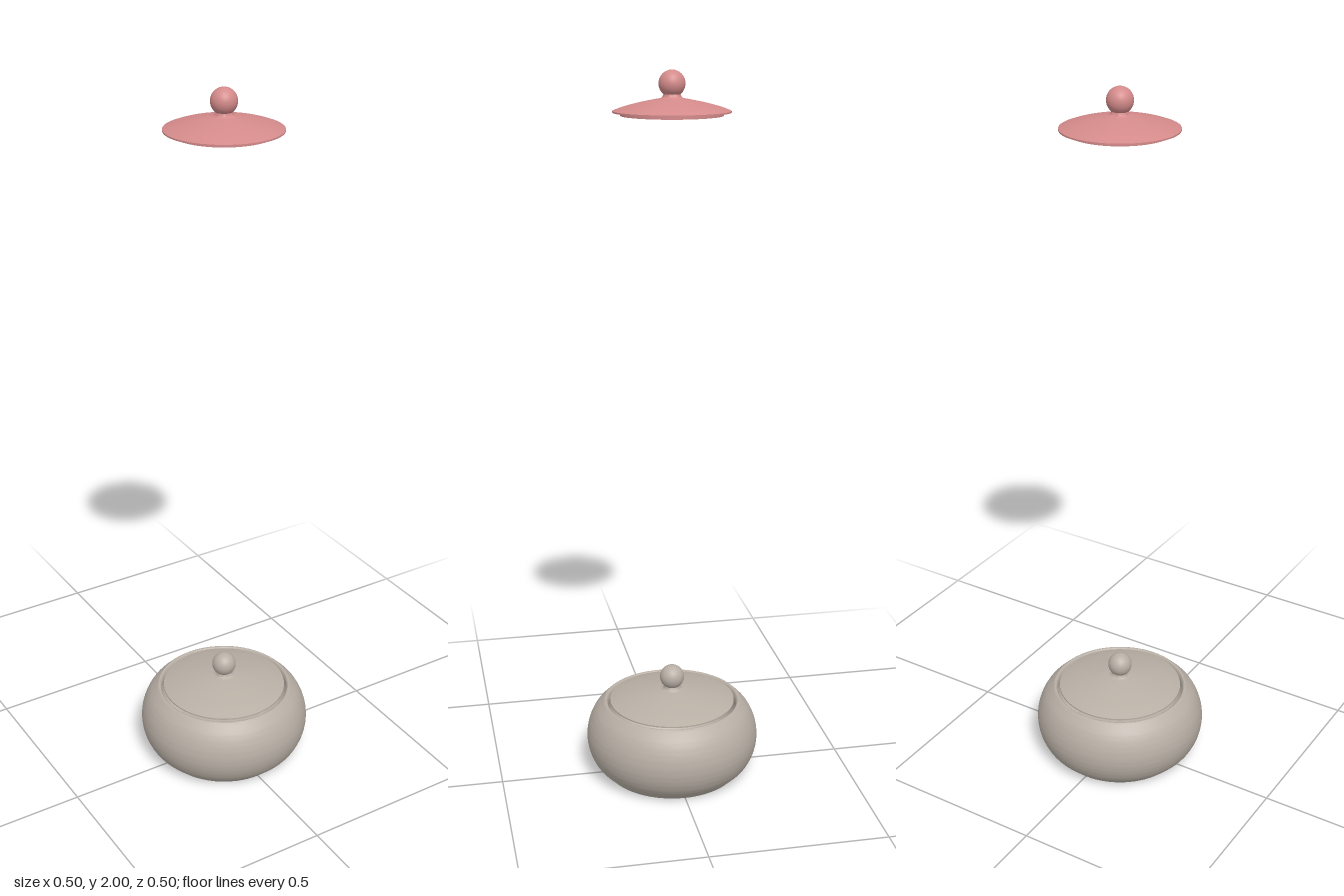
import * as THREE from 'three';
import { toCreasedNormals } from 'three/addons/utils/BufferGeometryUtils.js';

const v = (p) => new THREE.Vector2(p[0], p[1]);
const smooth = (pts, n) => new THREE.SplineCurve(pts.map(v)).getPoints(n);

// Revolved solid with crisp edges where the profile turns sharply
function turned(name, profile, material) {
  const geometry = toCreasedNormals(new THREE.LatheGeometry(profile, 72), 0.6);
  const mesh = new THREE.Mesh(geometry, material);
  mesh.name = name;
  return mesh;
}

// Domed lid with a seating flange, neck and ball knob; y = 0 is the rim
function makeLid(name, radius, material) {
  const lid = new THREE.Group();
  lid.name = name;
  const flange = radius - 0.02;
  const dome = smooth([
    [radius, 0.004], [radius * 0.82, 0.014], [radius * 0.55, 0.025],
    [radius * 0.3, 0.033], [0.03, 0.036],
  ], 20);
  const profile = [
    [0, -0.002], [flange - 0.012, -0.002], [flange - 0.012, -0.008],
    [flange, -0.008], [flange, 0], [radius, 0],
  ].map(v).concat(dome, smooth([[0.026, 0.039], [0.022, 0.046], [0.022, 0.056]], 6), [v([0, 0.056])]);
  lid.add(turned('lidDome', profile, material));

  const knob = new THREE.Mesh(new THREE.SphereGeometry(0.035, 40, 24), material);
  knob.name = 'lidKnob';
  knob.position.y = 0.073;
  lid.add(knob);
  return lid;
}

export function createModel() {
  const model = new THREE.Group();
  model.name = 'lidded pot';
  const clay = new THREE.MeshStandardMaterial({ color: 0xb8afa5 });
  clay.name = 'warm grey';
  const pink = new THREE.MeshStandardMaterial({ color: 0xd48a8a });
  pink.name = 'dusty pink';

  // Hollow rounded bowl with a rolled lip
  const outside = smooth([
    [0.195, 0.004], [0.224, 0.033], [0.242, 0.07], [0.248, 0.11],
    [0.242, 0.15], [0.225, 0.187], [0.201, 0.213],
  ], 36);
  const lip = smooth([[0.201, 0.213], [0.196, 0.217], [0.19, 0.216], [0.187, 0.211]], 8).slice(1);
  const inside = smooth([
    [0.187, 0.195], [0.215, 0.165], [0.228, 0.11], [0.215, 0.06], [0.18, 0.02],
  ], 24);
  const profile = [v([0, 0]), v([0.192, 0])].concat(outside, lip, inside, [v([0, 0.02])]);
  model.add(turned('potBody', profile, clay));

  // Seated lid
  const seated = makeLid('potLid', 0.18, clay);
  seated.position.y = 0.215;
  model.add(seated);

  // Smaller lid floating above
  const raised = makeLid('raisedLid', 0.155, pink);
  raised.position.y = 1.892;
  model.add(raised);
  return model;
}
